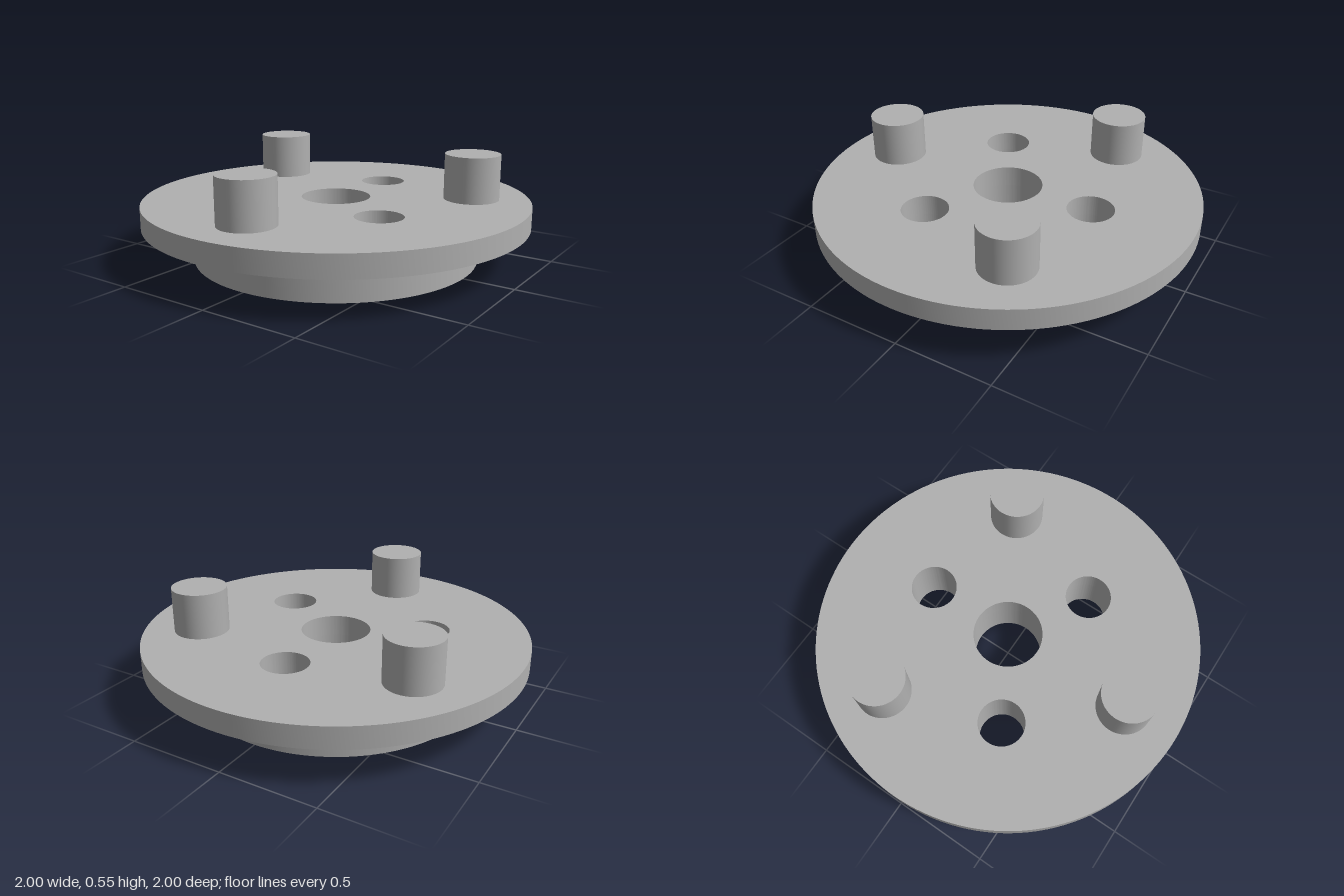
import * as THREE from 'three';
import { toCreasedNormals } from 'three/addons/utils/BufferGeometryUtils.js';

const HUB_TOP = 0.2;
const FLANGE_TOP = 0.31;
const PIN_TOP = 0.545;

// Point on a circle around the y axis; angle 0 faces +z
const polar = (radius, angle) => [radius * Math.sin(angle), radius * Math.cos(angle)];

// Round plate from y0 to y1, pierced by the bore and three bolt holes
function piercedDisc(radius, y0, y1) {
  const shape = new THREE.Shape().absarc(0, 0, radius, 0, Math.PI * 2, false);
  const addHole = (x, z, r) =>
    shape.holes.push(new THREE.Path().absarc(x, -z, r, 0, Math.PI * 2, true));

  addHole(0, 0, 0.18);
  for (let i = 0; i < 3; i++) {
    const [x, z] = polar(0.475, Math.PI + (i * Math.PI * 2) / 3);
    addHole(x, z, 0.12);
  }

  const geometry = new THREE.ExtrudeGeometry(shape, {
    depth: y1 - y0, bevelEnabled: false, curveSegments: 72,
  });
  geometry.rotateX(-Math.PI / 2).translate(0, y0, 0);
  return toCreasedNormals(geometry, Math.PI / 6);
}

export function createModel() {
  const model = new THREE.Group();
  model.name = 'flangedCoupling';
  const metal = new THREE.MeshStandardMaterial({ color: 0xb0b0b0 });
  metal.name = 'grey metal';

  const add = (name, geometry) => {
    const mesh = new THREE.Mesh(geometry, metal);
    mesh.name = name;
    model.add(mesh);
    return mesh;
  };

  // Narrow hub below the wide flange
  add('hub', piercedDisc(0.742, 0, HUB_TOP));
  add('flange', piercedDisc(1, HUB_TOP, FLANGE_TOP));

  // Three drive pins, set between the bolt holes
  const pinHeight = PIN_TOP - FLANGE_TOP;
  const pinGeometry = new THREE.CylinderGeometry(0.142, 0.142, pinHeight, 64);
  for (let i = 0; i < 3; i++) {
    const [x, z] = polar(0.702, (i * Math.PI * 2) / 3);
    add(`drivePin${i + 1}`, pinGeometry).position.set(x, FLANGE_TOP + pinHeight / 2, z);
  }

  return model;
}
